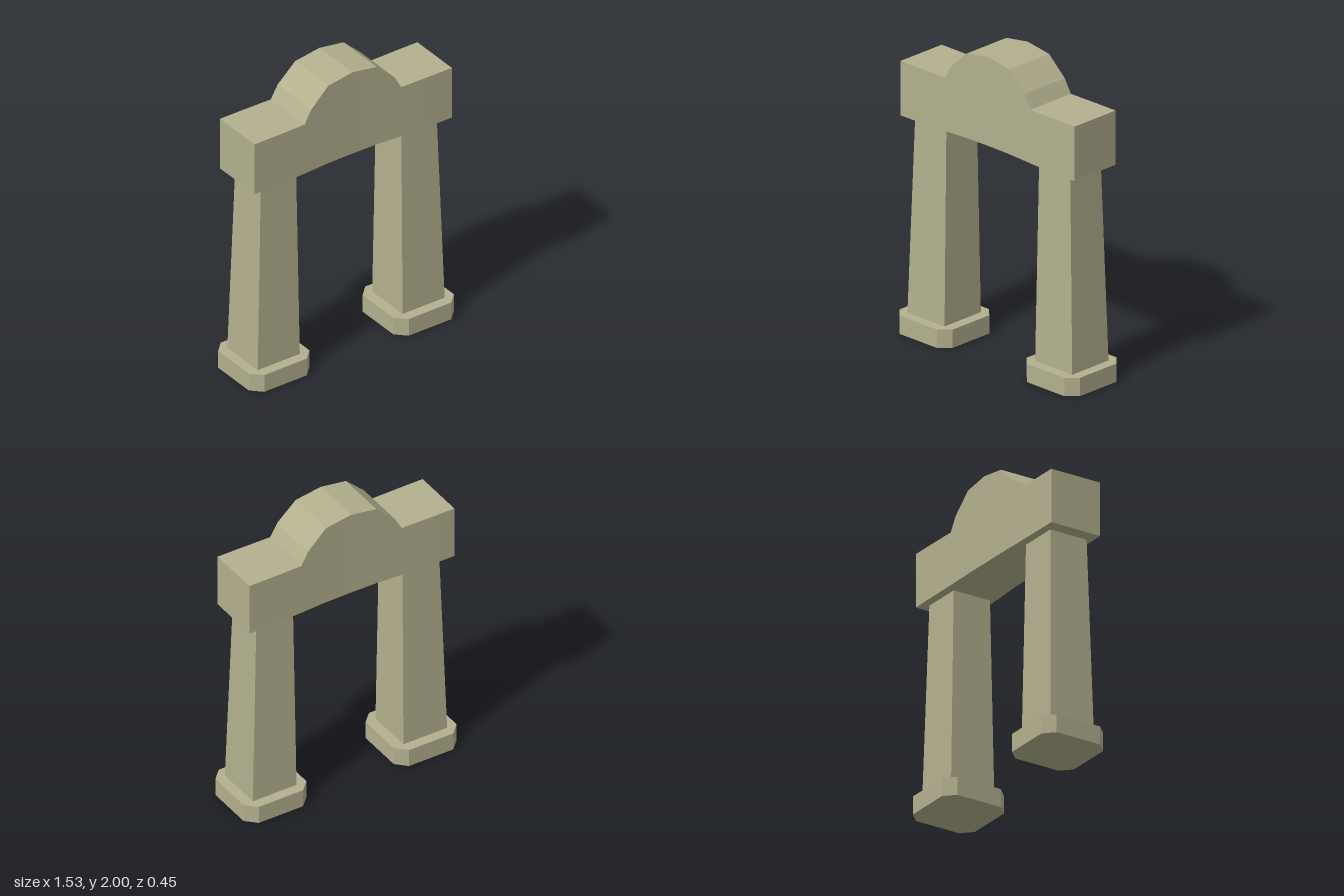
import * as THREE from 'three';

// Skin a closed, flat-faced solid over rings of points (counterclockwise seen from the last ring).
function loft(rings) {
  const pos = [];
  const tri = (a, b, c) => pos.push(...a, ...b, ...c);
  const n = rings[0].length;
  for (let r = 0; r < rings.length - 1; r++) {
    const a = rings[r], b = rings[r + 1];
    for (let i = 0; i < n; i++) {
      const j = (i + 1) % n;
      tri(a[i], a[j], b[j]);
      tri(a[i], b[j], b[i]);
    }
  }
  const first = rings[0], last = rings[rings.length - 1];
  for (let i = 1; i < n - 1; i++) {
    tri(first[0], first[i + 1], first[i]);
    tri(last[0], last[i], last[i + 1]);
  }
  const geometry = new THREE.BufferGeometry();
  geometry.setAttribute('position', new THREE.Float32BufferAttribute(pos, 3));
  geometry.computeVertexNormals();
  return geometry;
}

// Horizontal rectangle, with optional cut corners.
function levelRing(y, x0, x1, z, cut = 0) {
  if (!cut) return [[x1, y, z], [x1, y, -z], [x0, y, -z], [x0, y, z]];
  return [
    [x1 - cut, y, z], [x1, y, z - cut], [x1, y, cut - z], [x1 - cut, y, -z],
    [x0 + cut, y, -z], [x0, y, cut - z], [x0, y, z - cut], [x0 + cut, y, z],
  ];
}

export function createModel() {
  const group = new THREE.Group();
  const stone = new THREE.MeshStandardMaterial({ color: 0xb3b08e });
  stone.name = 'stone';
  const add = (name, rings) => {
    const mesh = new THREE.Mesh(loft(rings), stone);
    mesh.name = name;
    group.add(mesh);
  };

  for (const side of [1, -1]) {
    const label = side > 0 ? 'left' : 'right';
    const ring = (y, inner, outer, z, cut) =>
      side > 0 ? levelRing(y, inner, outer, z, cut) : levelRing(y, -outer, -inner, z, cut);

    // Chamfered foot block
    add(label + 'Base', [ring(0, 0.313, 0.764, 0.225, 0.067), ring(0.12, 0.313, 0.764, 0.225, 0.067)]);

    // Tapered pillar with a thin flare under the lintel
    add(label + 'Pillar', [
      ring(0.11, 0.383, 0.697, 0.157),
      ring(1.4, 0.392, 0.656, 0.132),
      ring(1.412, 0.365, 0.695, 0.172),
    ]);
  }

  // Lintel with a faceted arch crest, slightly waisted: [x, bottom, top, half depth]
  const half = [
    [0, 1.418, 2, 0.17], [0.18, 1.417, 1.972, 0.171], [0.31, 1.413, 1.85, 0.174],
    [0.36, 1.411, 1.762, 0.175], [0.58, 1.407, 1.762, 0.178], [0.735, 1.406, 1.762, 0.178],
  ];
  const sections = [...half.slice(1).reverse().map(([x, ...rest]) => [-x, ...rest]), ...half];
  add('archedLintel', sections.map(([x, y0, y1, z]) => [[x, y0, -z], [x, y1, -z], [x, y1, z], [x, y0, z]]));

  return group;
}
